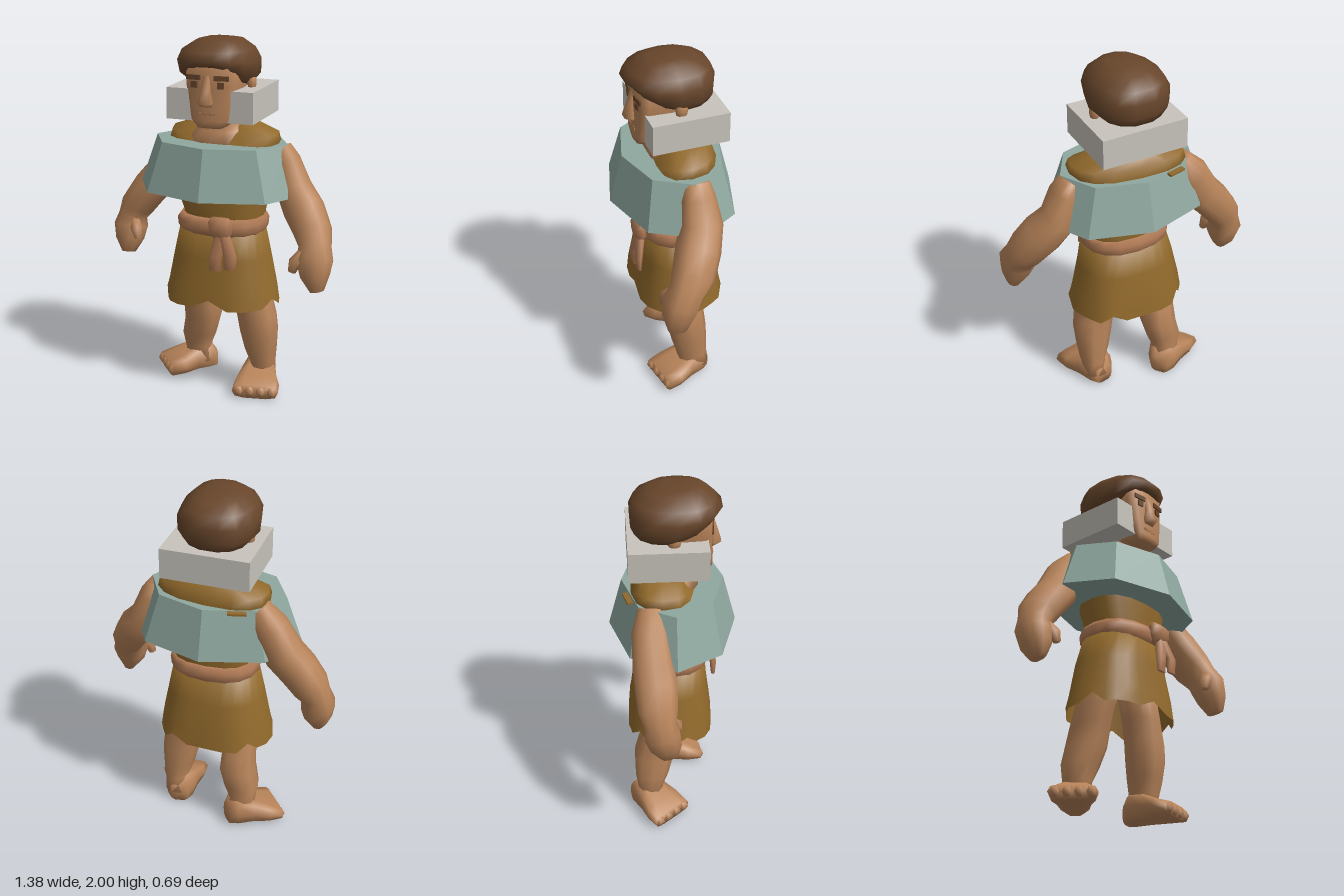
import * as THREE from 'three';

const mat = (name, color, extra = {}) => {
  const m = new THREE.MeshStandardMaterial({ color, ...extra });
  m.name = name;
  return m;
};
const Y = new THREE.Vector3(0, 1, 0), Z = new THREE.Vector3(0, 0, 1);

// Skin a surface over rings [x, y, z, halfWidth, halfDepth].
// axis fixes the ring normal; without it the rings follow the path.
function loft(rings, { n = 10, ref = Z, axis = null, pow = 0.85, open = false, tweak = null } = {}) {
  const pos = [], idx = [];
  const centre = rings.map(r => new THREE.Vector3(r[0], r[1], r[2]));
  const bend = v => Math.sign(v) * Math.pow(Math.abs(v), pow);
  rings.forEach((r, k) => {
    const t = axis ? axis.clone()
      : centre[Math.min(k + 1, rings.length - 1)].clone().sub(centre[Math.max(k - 1, 0)]).normalize();
    const u = ref.clone().cross(t).normalize(), v = t.clone().cross(u);
    for (let i = 0; i < n; i++) {
      const a = i / n * Math.PI * 2;
      const p = centre[k].clone()
        .addScaledVector(u, r[3] * bend(Math.cos(a)))
        .addScaledVector(v, r[4] * bend(Math.sin(a)));
      if (tweak) tweak(p, a, k);
      pos.push(p.x, p.y, p.z);
    }
  });
  for (let k = 0; k < rings.length - 1; k++) for (let i = 0; i < n; i++) {
    const a = k * n + i, b = k * n + (i + 1) % n;
    idx.push(a, b, b + n, a, b + n, a + n);
  }
  const last = (rings.length - 1) * n, c = rings.length * n;
  pos.push(...centre[0].toArray(), ...centre[rings.length - 1].toArray());
  for (let i = 0; i < n; i++) {
    const j = (i + 1) % n;
    if (!open) idx.push(c, j, i);
    idx.push(c + 1, last + i, last + j);
  }
  const g = new THREE.BufferGeometry();
  g.setAttribute('position', new THREE.Float32BufferAttribute(pos, 3));
  g.setIndex(idx);
  g.computeVertexNormals();
  return g;
}

export function createModel() {
  const model = new THREE.Group();
  model.name = 'tunicFigure';
  const skin = mat('skin', 0xb8845a), cloth = mat('ochreCloth', 0x926a2c, { side: THREE.DoubleSide });
  const hair = mat('brownHair', 0x68462b), teal = mat('tealCollar', 0x8fa8a0);
  const grey = mat('greyBlock', 0xc8c4bc), sash = mat('sash', 0xb07a55);

  const add = (name, geo, material, x = 0, y = 0, z = 0) => {
    const m = new THREE.Mesh(geo, material);
    m.name = name;
    m.position.set(x, y, z);
    model.add(m);
    return m;
  };

  // Head, nose, ears and neck
  add('head', loft([
    [.005, 1.54, .12, .075, .09], [.005, 1.58, .1, .11, .115], [.005, 1.66, .07, .13, .14],
    [0, 1.76, .03, .145, .18], [0, 1.86, .02, .15, .19], [0, 1.93, .01, .1, .15],
  ], { n: 12, axis: Y, pow: .45 }), skin);
  add('nose', loft([
    [-.008, 1.655, .21, .035, .012], [-.008, 1.675, .218, .045, .042],
    [-.008, 1.74, .21, .028, .03], [-.005, 1.82, .2, .022, .014],
  ], { n: 6, axis: Y }), skin);
  add('neck', loft([
    [0, 1.4, -.01, .22, .17], [0, 1.5, -.01, .15, .12], [0, 1.54, 0, .11, .1], [0, 1.62, .01, .1, .1],
  ], { axis: Y }), skin);

  for (const s of [-1, 1]) {
    add('ear', new THREE.SphereGeometry(1, 8, 6), skin, s * .175, 1.765, 0).scale.set(.025, .05, .035);
    const plate = (name, x, y, w, h) =>
      add(name, new THREE.BoxGeometry(w, h, .009), hair, s * x, y, .206).rotation.y = s * .1;
    plate('brow', .078, 1.808, .08, .026);
    plate('eye', .074, 1.77, .036, .034);
  }
  add('mouth', new THREE.BoxGeometry(.085, .014, .008), sash, 0, 1.617, .209);

  // Hair cap, lifted over the forehead and narrower in front
  const lift = [.1, .07, .02, 0, 0, 0];
  add('hair', loft([
    [-.01, 1.75, -.02, .17, .185], [-.01, 1.8, 0, .215, .225], [-.01, 1.88, .015, .22, .245],
    [-.01, 1.94, .01, .187, .215], [0, 1.985, .02, .125, .15], [0, 2, .04, .07, .08],
  ], {
    n: 14, axis: Y, pow: .85,
    tweak: (p, a, k) => {
      const s = Math.max(0, Math.sin(a));
      p.y += lift[k] * s * s;
      if (k < 3) p.x *= 1 - .12 * s;
    },
  }), hair);

  // Block around the jaw and the eight-sided collar
  add('neckBlock', new THREE.BoxGeometry(.49, .17, .42), grey, 0, 1.655, -.03);
  const collar = new THREE.CylinderGeometry(.38, .48, .275, 8).toNonIndexed();
  collar.scale(1, 1, .72);
  collar.computeVertexNormals();
  add('collar', collar, teal, 0, 1.3025, 0);

  // Tunic top, its right shoulder set back, and ragged skirt
  add('tunicTop', loft([
    [.015, .94, -.01, .225, .17], [.02, 1.04, -.01, .225, .17], [.01, 1.15, -.01, .255, .185],
    [.01, 1.35, -.02, .28, .19], [.01, 1.44, -.035, .32, .19], [.01, 1.49, -.04, .31, .165],
    [.01, 1.53, -.05, .19, .135], [.01, 1.545, -.05, .13, .1],
  ], {
    n: 16, axis: Y, pow: .78,
    tweak: (p, a, k) => {
      if (k < 4) return;
      p.y -= .06 * Math.max(0, Math.sin(a)) ** 3;
      p.z += .09 * p.x;
    },
  }), cloth);
  add('tornFlap', new THREE.BoxGeometry(.1, .012, .03), cloth, -.18, 1.435, -.245).rotation.y = .25;
  add('skirt', loft([
    [.005, .522, -.016, .325, .242], [.005, .62, -.015, .31, .234],
    [.005, .8, -.015, .272, .208], [.01, .97, -.003, .235, .18],
  ], {
    n: 24, axis: Y, pow: .82, open: true,
    tweak: (p, a, k) => {
      const f = Math.cos(a * 6 + .6);
      const w = 1 + [.03, .025, .01, 0][k] * f;
      p.x *= w;
      p.z *= w;
      if (k === 0 && Math.cos(a * 5 + 1.2) < -.8) p.y += .05;
    },
  }), cloth);

  // Sash with knot and two hanging ends
  add('belt', loft([
    [.012, .93, -.003, .228, .18], [.012, .955, -.003, .25, .203],
    [.012, 1.0, -.003, .255, .205], [.015, 1.03, -.003, .238, .185],
  ], { n: 16, axis: Y }), sash);
  add('beltKnot', loft([
    [.075, .935, .2, .04, .025], [.075, .97, .205, .065, .04], [.07, 1.02, .205, .068, .042], [.07, 1.05, .2, .055, .02],
  ], { n: 8, axis: Y, pow: .7 }), sash);
  for (const [x, y] of [[.055, .76], [.14, .775]])
    add('sashEnd', loft([
      [x, y, .236, .035, .012], [x, y + .08, .235, .038, .02], [.085, .98, .205, .035, .025],
    ], { n: 6, axis: Y }), sash);

  // Arms, each running from shoulder to fingertips, with a thumb
  add('rightArm', loft([
    [-.26, 1.42, -.13, .07, .07], [-.33, 1.32, -.135, .1, .1], [-.41, 1.17, -.125, .108, .112],
    [-.49, 1.08, -.115, .105, .115], [-.56, .985, -.11, .098, .108], [-.59, .92, -.1, .08, .088],
    [-.6, .86, -.09, .095, .098], [-.6, .78, -.07, .077, .088], [-.6, .705, -.05, .035, .05],
  ]), skin);
  add('rightThumb', loft([
    [-.56, .9, -.05, .035, .035], [-.525, .85, -.01, .035, .035], [-.515, .805, 0, .02, .02],
  ], { n: 6 }), skin);
  add('leftArm', loft([
    [.335, 1.42, -.025, .05, .07], [.365, 1.345, -.02, .075, .095], [.41, 1.2, -.025, .092, .115],
    [.485, 1.095, .02, .107, .12], [.553, .99, .07, .098, .115], [.58, .92, .115, .085, .095],
    [.59, .86, .152, .1, .1], [.6, .78, .17, .08, .085], [.617, .698, .182, .035, .05],
  ]), skin);
  add('leftThumb', loft([
    [.54, .9, .18, .035, .035], [.495, .85, .205, .035, .035], [.482, .8, .21, .022, .022],
  ], { n: 6 }), skin);

  // Legs
  add('rightLeg', loft([
    [-.18, .06, -.15, .078, .08], [-.195, .15, -.14, .075, .075], [-.183, .24, -.13, .1, .098],
    [-.155, .35, -.115, .102, .115], [-.155, .45, -.09, .097, .115], [-.155, .56, -.055, .096, .112],
    [-.13, .72, -.02, .1, .11],
  ], { axis: Y }), skin);
  add('leftLeg', loft([
    [.23, .06, -.06, .075, .085], [.24, .15, -.045, .068, .088], [.23, .24, -.032, .09, .1],
    [.222, .35, -.02, .108, .107], [.21, .44, -.015, .113, .103], [.185, .56, -.015, .103, .108],
    [.15, .72, -.02, .1, .11],
  ], { axis: Y }), skin);

  // Feet: heel-to-toe sections resting on the ground, built along +z and turned outward
  const foot = (name, x, z, turn) => {
    const g = new THREE.Group();
    g.name = name;
    const sole = new THREE.Mesh(loft([
      [0, .055, -.1, .055, .055], [0, .08, -.06, .085, .08], [0, .075, .03, .1, .075],
      [0, .054, .12, .128, .054], [0, .04, .2, .13, .04],
    ], { ref: Y, axis: Z, pow: .6 }), skin);
    sole.name = 'footBody';
    g.add(sole);
    for (let i = 0; i < 4; i++) {
      const toe = new THREE.Mesh(new THREE.SphereGeometry(1, 6, 4), skin);
      toe.name = 'toe';
      toe.scale.set(.034, .036, .045);
      toe.position.set(-.093 + i * .062, .04, .18);
      g.add(toe);
    }
    g.position.set(x, 0, z);
    g.rotation.y = turn;
    model.add(g);
  };
  foot('rightFoot', -.2, -.15, -.87);
  foot('leftFoot', .222, -.035, .2);

  return model;
}
